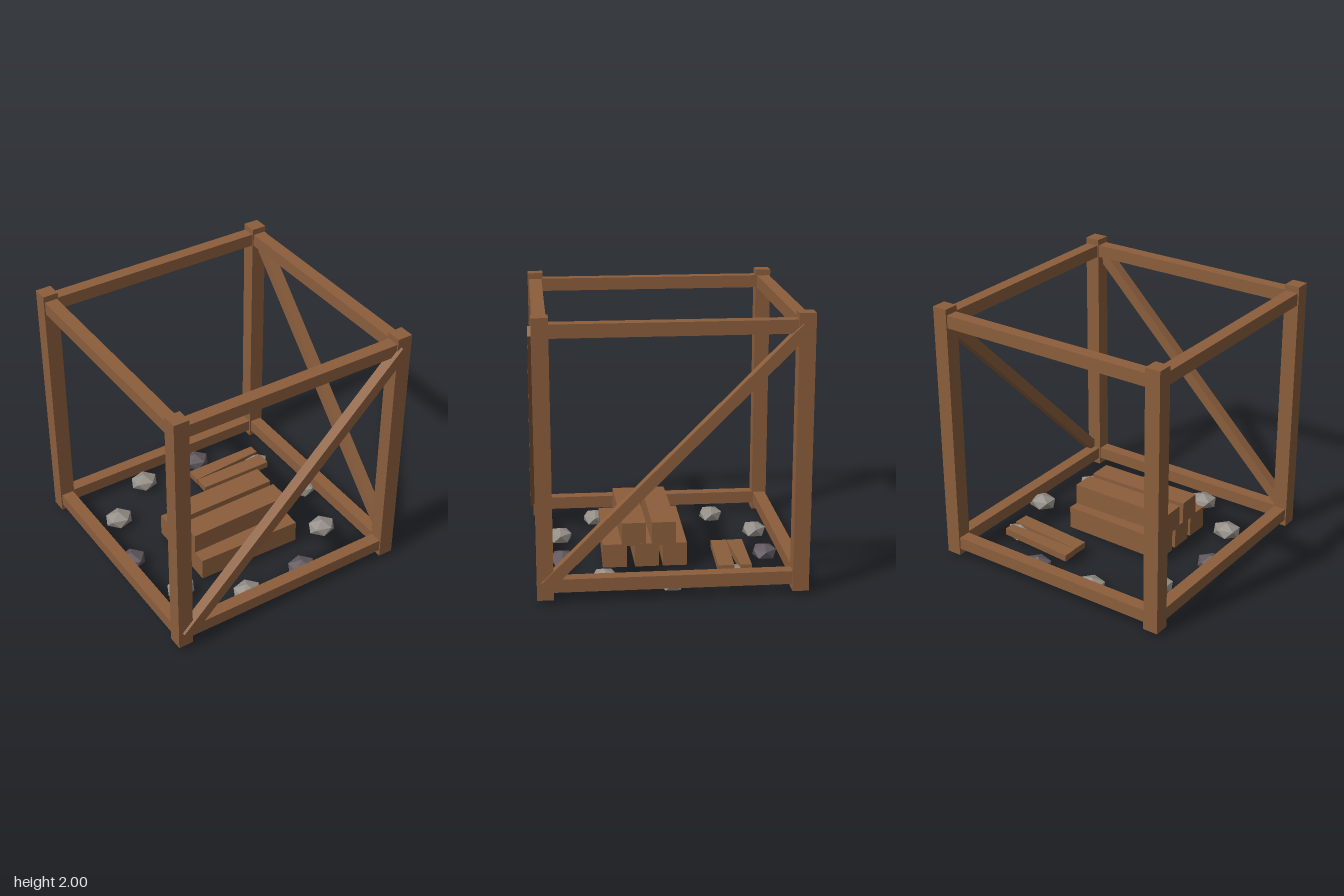
import * as THREE from 'three';

export function createModel() {
  const model = new THREE.Group();
  const mat = (name, color) => {
    const m = new THREE.MeshStandardMaterial({ color, flatShading: true });
    m.name = name;
    return m;
  };
  const wood = mat('brown wood', 0x8b5e3c);
  const paleStone = mat('pale stone', 0x948e87);
  const darkStone = mat('dark stone', 0x5f575c);

  const add = (name, geometry, material, x, y, z) => {
    const mesh = new THREE.Mesh(geometry, material);
    mesh.name = name;
    mesh.position.set(x, y, z);
    model.add(mesh);
    return mesh;
  };
  const beam = (name, w, h, d, x, y, z) =>
    add(name, new THREE.BoxGeometry(w, h, d), wood, x, y, z);

  // Frame: the four posts stand on a square slightly off the origin
  const C = -0.0125, R = 0.89;
  for (const sx of [-1, 1]) {
    for (const sz of [-1, 1]) {
      beam('post', 0.115, 1.975, 0.115, C + sx * R, 1.0125, C + sz * R);
    }
  }
  for (const [name, y] of [['bottomRail', 0.123], ['topRail', 1.907]]) {
    for (const s of [-1, 1]) {
      beam(name, 2 * R - 0.115, 0.095, 0.095, C, y, C + s * R);
      beam(name, 0.095, 0.095, 2 * R - 0.115, C + s * R, y, C);
    }
  }

  // Diagonal braces on the front and on the model's left side
  const front = beam('frontBrace', 2.51, 0.08, 0.08, C, 1.015, 0.918);
  front.rotation.z = Math.PI / 4;
  const side = beam('sideBrace', 0.08, 0.08, 2.51, 0.918, 1.015, C);
  side.rotation.x = Math.PI / 4;

  // Stacked timbers: [y, z, yaw]
  const timbers = [
    [0.123, 0.352, -0.024], [0.123, 0.128, 0.006], [0.123, -0.083, -0.012],
    [0.283, 0.227, 0.014], [0.283, 0.006, 0.008],
  ];
  for (const [y, z, yaw] of timbers) {
    beam('timber', 0.83, 0.175, 0.176, -0.032, y, z).rotation.y = yaw;
  }

  // Two loose boards, one narrowing, propped on a stone at one end
  const boards = [
    { z: -0.559, width: 0.118, yaw: 0, taper: 0.68 },
    { z: -0.427, width: 0.117, yaw: -0.04, taper: 1 },
  ];
  for (const { z, width, yaw, taper } of boards) {
    const g = new THREE.BoxGeometry(0.585, 0.052, width);
    const p = g.attributes.position;
    for (let i = 0; i < p.count; i++) {
      if (p.getX(i) > 0) p.setZ(i, p.getZ(i) * taper);
    }
    g.computeVertexNormals();
    add('looseBoard', g, wood, 0.378, 0.095, z).rotation.set(0, yaw, 0.04);
  }

  // Ring of ten squashed stones, each with a corner pointing up
  const stone = new THREE.IcosahedronGeometry(1, 0);
  stone.rotateZ(-Math.atan(2 / (1 + Math.sqrt(5))));
  stone.scale(0.117, 0.062, 0.1);
  stone.computeVertexNormals();
  for (let i = 0; i < 10; i++) {
    const a = (i * Math.PI) / 5;
    const dark = i === 2 || i === 5 || i === 8;
    add('stone', stone, dark ? darkStone : paleStone,
      C + 0.79 * Math.cos(a), 0.062, C + 0.79 * Math.sin(a));
  }
  return model;
}
